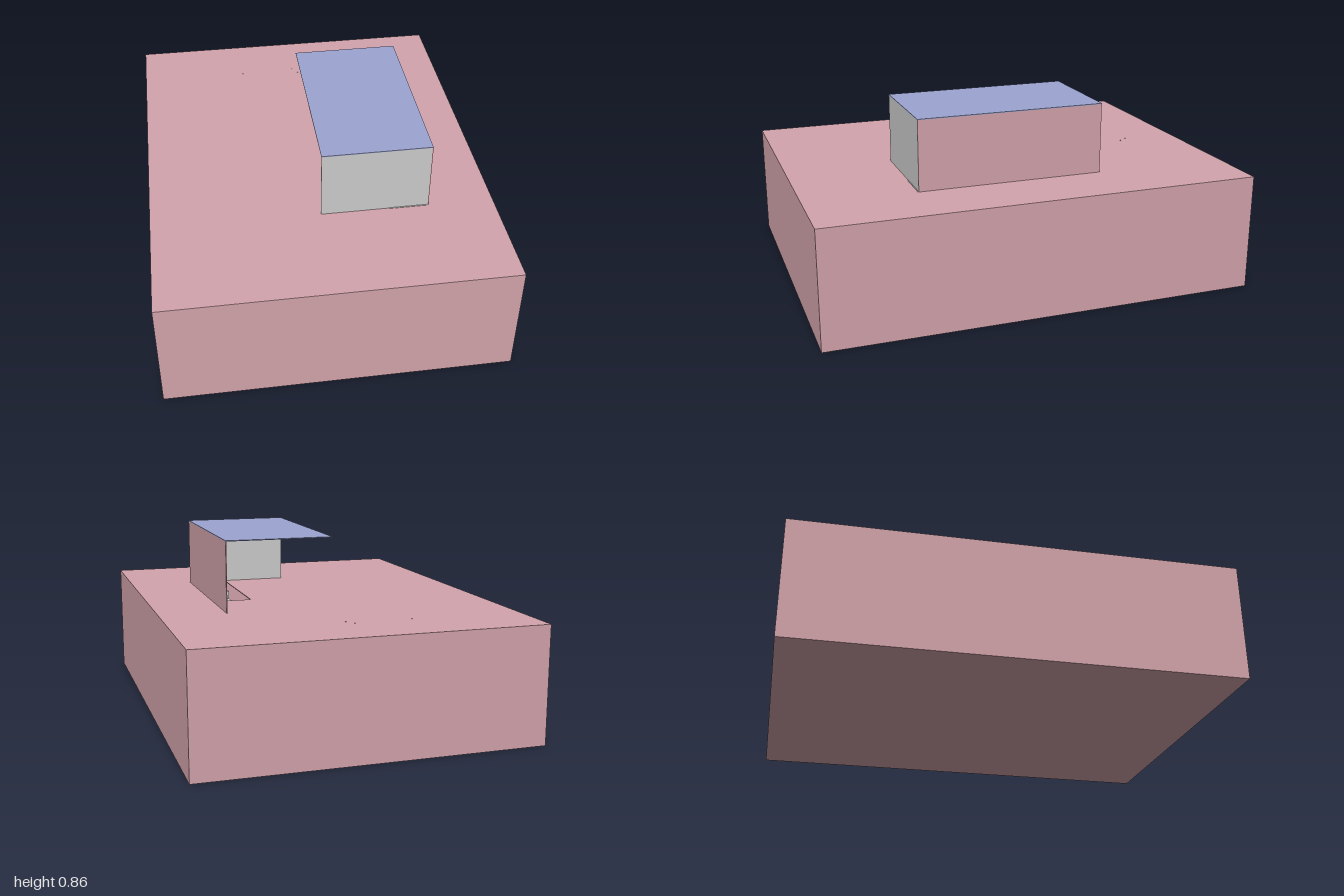
import * as THREE from 'three';

const material = (color) => new THREE.MeshStandardMaterial({ color, side: THREE.DoubleSide });

export function createModel() {
  const model = new THREE.Group();
  const pink = material(0xd3a4ac);
  const blue = material(0x9ca5d2);
  const grey = material(0xcccccc);

  // Box given by its minimum and maximum corners
  function block(name, mat, [x0, y0, z0], [x1, y1, z1], parent = model) {
    const mesh = new THREE.Mesh(new THREE.BoxGeometry(x1 - x0, y1 - y0, z1 - z0), mat);
    mesh.position.set((x0 + x1) / 2, (y0 + y1) / 2, (z0 + z1) / 2);
    mesh.name = name;
    parent.add(mesh);
    return mesh;
  }

  const X = 0.78, Z = 1, H = 0.538, T = 0.004;     // underground room
  const hx0 = -0.015, hx1 = 0.48, hz0 = -0.37, hz1 = 0.493, hy = 0.863; // entrance hut
  const sx0 = 0.295, wellZ = -0.075;               // stairwell opening

  // Hollow room: floor and four walls
  block('roomFloor', pink, [-X, 0, -Z], [X, T, Z]);
  for (const s of [-1, 1]) {
    const x = s * (X - T / 2), z = s * (Z - T / 2);
    block(s > 0 ? 'roomLeftWall' : 'roomRightWall', pink, [x - T / 2, T, -Z], [x + T / 2, H - T, Z]);
    block(s > 0 ? 'roomFrontWall' : 'roomBackWall', pink, [-X + T, T, z - T / 2], [X - T, H - T, z + T / 2]);
  }

  // Room ceiling with the stairwell cut out (shape y becomes -z)
  const slab = new THREE.Shape([[-X, -Z], [X, -Z], [X, Z], [-X, Z]].map(p => new THREE.Vector2(...p)));
  slab.holes.push(new THREE.Path(
    [[sx0, -hz1], [sx0, -wellZ], [hx1 - T, -wellZ], [hx1 - T, -hz1]].map(p => new THREE.Vector2(...p))));
  const ceiling = new THREE.Mesh(new THREE.ExtrudeGeometry(slab, { depth: T, bevelEnabled: false }), pink);
  ceiling.rotation.x = -Math.PI / 2;
  ceiling.position.y = H - T;
  ceiling.name = 'roomCeiling';
  model.add(ceiling);

  // Entrance hut, open at the back and on its right side
  block('hutSideWall', pink, [hx1 - T, T, hz0], [hx1, hy - T, hz1]);
  block('hutFrontWall', grey, [hx0, H, hz1 - T], [hx1 - T, hy - T, hz1]);
  block('hutRoof', blue, [hx0, hy - T, hz0], [hx1, hy, hz1]);

  // Stairs climbing from the room floor towards the front
  const stairs = new THREE.Group();
  stairs.name = 'stairs';
  model.add(stairs);
  const steps = 14, top = H + 0.002, z1 = 0.497, run = (z1 - hz0) / steps, rise = top / steps;
  for (let i = 0; i < steps; i++) {
    const y = top - i * rise, z = z1 - i * run;
    block('tread', grey, [sx0 + 0.005, y - 0.01, z - run], [hx1 - T, y, z], stairs);
    block('riser', grey, [sx0 + 0.005, Math.max(T, y - rise), z - run], [hx1 - T, y - 0.01, z - run + 0.006], stairs);
  }

  // Sloping board along the wall side of the stairs (shape x is z)
  const board = new THREE.Shape([[hz0, T], [0.485, H - 0.06], [0.485, H + 0.1], [hz0, 0.11]]
    .map(p => new THREE.Vector2(...p)));
  const stringer = new THREE.Mesh(new THREE.ExtrudeGeometry(board, { depth: 0.008, bevelEnabled: false }), grey);
  stringer.rotation.y = -Math.PI / 2;
  stringer.position.x = hx1 - T;
  stringer.name = 'stairBoard';
  stairs.add(stringer);

  // Tiny fixing tips that reach just through the ceiling
  for (const [x, z] of [[-0.26, -0.725], [0.008, -0.74], [0.035, -0.7]]) {
    block('ceilingFixing', grey, [x - 0.002, H - 0.03, z - 0.002], [x + 0.002, H + 0.003, z + 0.002]);
  }
  return model;
}
